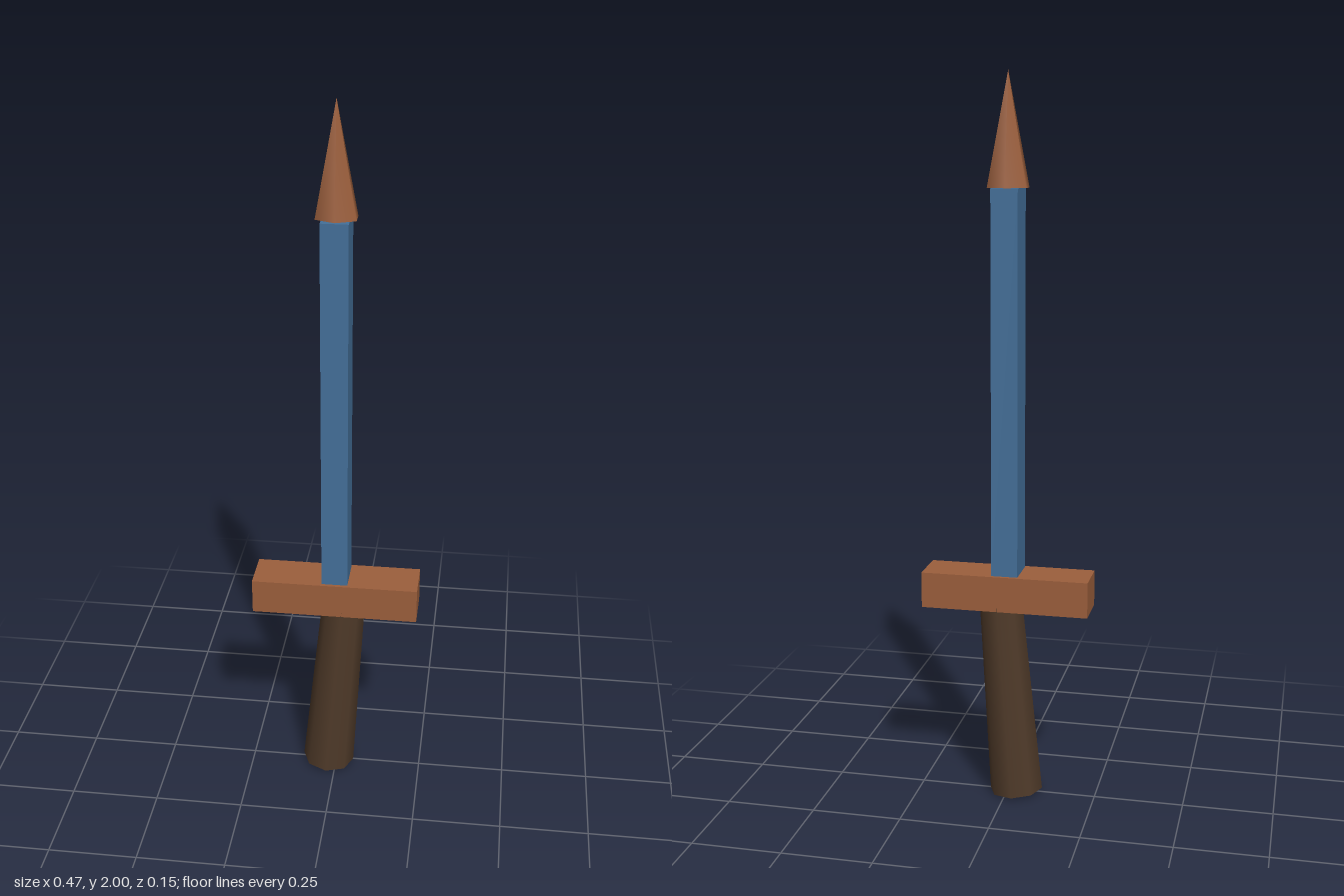
import * as THREE from 'three';

const part = (name, geometry, color, x, y, z) => {
  const mesh = new THREE.Mesh(geometry, new THREE.MeshStandardMaterial({ color }));
  mesh.name = name;
  mesh.position.set(x, y, z);
  return mesh;
};

export function createModel() {
  const wood = 0x9c5f3c, steel = 0x44709a, leather = 0x4f3a29;
  const group = new THREE.Group();
  group.name = 'sword';

  // Tapered octagonal handle, leaning slightly and sunk into the guard
  const handle = part('handle', new THREE.CylinderGeometry(0.06, 0.075, 0.6, 8), leather, 0, 0.305, 0);
  handle.rotation.z = -0.08;

  // Crossguard and straight blade
  const guard = part('crossguard', new THREE.BoxGeometry(0.466, 0.1, 0.122), wood, 0, 0.6, 0);
  const blade = part('blade', new THREE.BoxGeometry(0.073, 1.05, 0.103), steel, 0, 1.175, 0);

  // Six-sided point, flattened front to back
  const tip = part('tip', new THREE.ConeGeometry(0.061, 0.3, 6), wood, 0, 1.85, 0);
  tip.scale.z = 0.72;

  group.add(handle, guard, blade, tip);
  return group;
}
